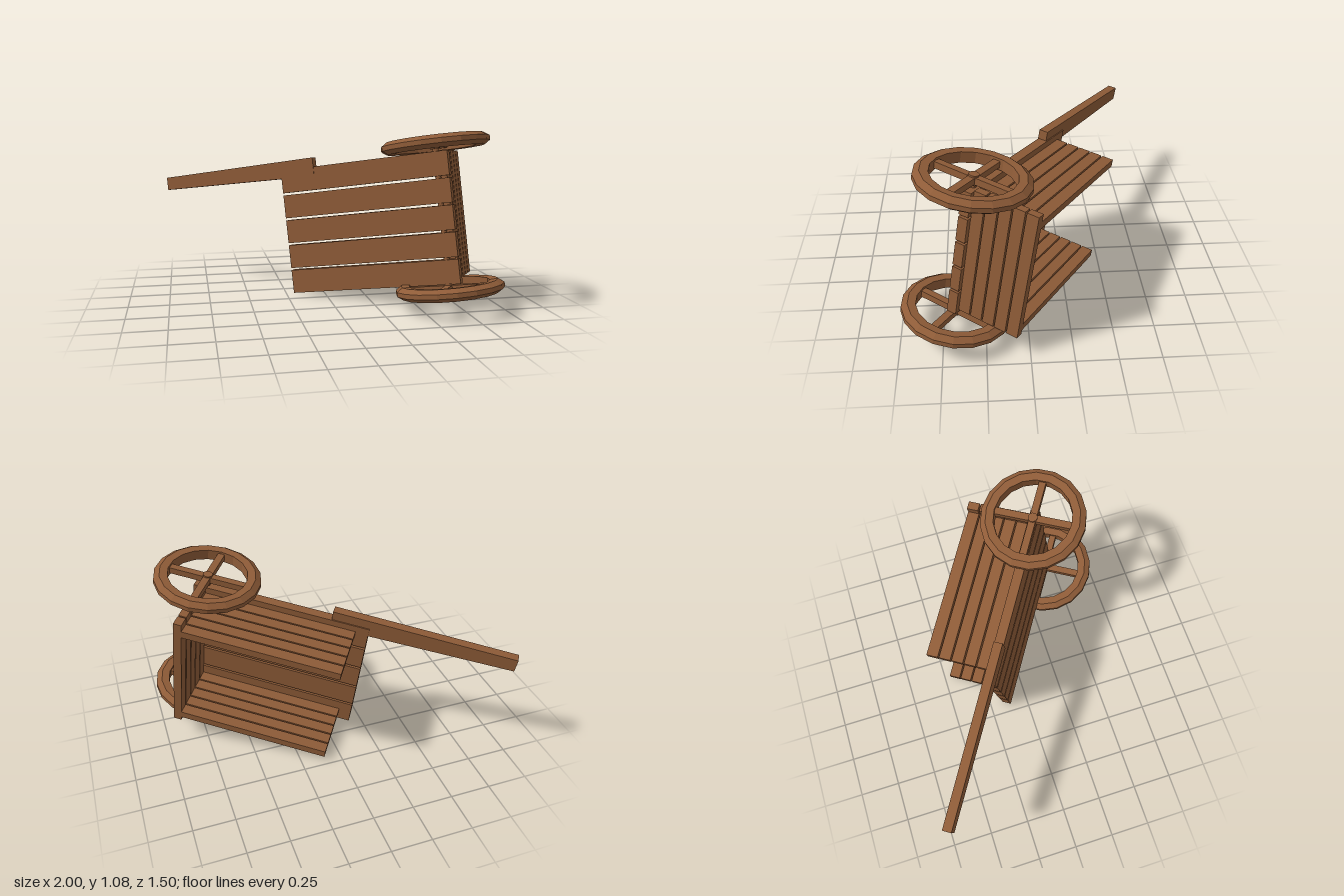
import * as THREE from 'three';

export function createModel() {
  const model = new THREE.Group();
  model.name = 'tippedCart';
  const wood = new THREE.MeshStandardMaterial({ color: 0x8f5c38 });
  wood.name = 'brown wood';

  // Cart space: x runs toward the wheel end, y is up out of the bed, z is along the axle
  const cart = new THREE.Group();
  cart.name = 'cart';
  model.add(cart);

  const add = (name, geometry, parent = cart) => {
    const mesh = new THREE.Mesh(geometry, wood);
    mesh.name = name;
    parent.add(mesh);
    return mesh;
  };
  // Box given by its lower and upper limits on each axis
  const board = (name, [x0, x1], [y0, y1], [z0, z1], parent) => {
    const mesh = add(name, new THREE.BoxGeometry(x1 - x0, y1 - y0, z1 - z0), parent);
    mesh.position.set((x0 + x1) / 2, (y0 + y1) / 2, (z0 + z1) / 2);
    return mesh;
  };

  const mid = 0.449;
  for (let i = 0; i < 5; i++) {
    // Floor planks, side by side along the axle
    const z = 0.043 + i * 0.1645;
    board('floorPlank', [-0.228, 0.878], [-0.015, 0.045], [z, z + 0.15]);
    // Side and end walls
    const y = 0.047 + i * 0.08;
    for (const s of [-1, 1]) {
      const c = mid + s * 0.34;
      board('sidePlank', [-0.15, 0.8], [y, y + 0.071], [c - 0.023, c + 0.023]);
    }
    board('endPlank', [0.8, 0.85], [y, y + 0.071], [0.06, 0.858]);
  }

  // Single pull bar, narrower at the free end
  const bar = new THREE.Shape([
    new THREE.Vector2(-1.11, 0.815), new THREE.Vector2(0.005, 0.79),
    new THREE.Vector2(0.005, 0.91), new THREE.Vector2(-1.11, 0.9),
  ]);
  const barGeometry = new THREE.ExtrudeGeometry(bar, { depth: 0.056, bevelEnabled: false });
  barGeometry.rotateX(Math.PI / 2);
  add('handle', barGeometry).position.y = 0.038;

  // Wheels: bevelled rim, crossed spokes and a hub
  const profile = [
    [0.243, -0.034], [0.292, -0.038], [0.327, -0.014], [0.327, 0.014],
    [0.292, 0.038], [0.243, 0.034], [0.243, -0.034],
  ].map(([r, h]) => new THREE.Vector2(r, h));
  const rim = new THREE.LatheGeometry(profile, 18).toNonIndexed();
  rim.computeVertexNormals();
  rim.rotateX(Math.PI / 2);
  const hub = new THREE.CylinderGeometry(0.03, 0.03, 0.06, 10).rotateX(Math.PI / 2);
  for (const z of [0.018, 0.897]) {
    const wheel = new THREE.Group();
    wheel.name = 'wheel';
    wheel.position.set(0.803, 0.006, z);
    cart.add(wheel);
    add('rim', rim, wheel);
    add('hub', hub, wheel);
    board('spoke', [-0.25, 0.25], [-0.022, 0.022], [-0.02, 0.02], wheel);
    board('spoke', [-0.022, 0.022], [-0.25, 0.25], [-0.02, 0.02], wheel);
  }

  // Axle
  const axle = add('axle', new THREE.CylinderGeometry(0.018, 0.018, 0.88, 10).rotateX(Math.PI / 2));
  axle.position.set(0.803, 0.01, 0.457);

  // Lay the cart over on its side
  const along = new THREE.Vector3(0.834, 0.148, 0.533).normalize();
  const across = new THREE.Vector3(-0.077, 0.986, -0.148);
  across.addScaledVector(along, -across.dot(along)).normalize();
  const up = new THREE.Vector3().crossVectors(across, along);
  cart.quaternion.setFromRotationMatrix(new THREE.Matrix4().makeBasis(along, up, across));
  return model;
}
